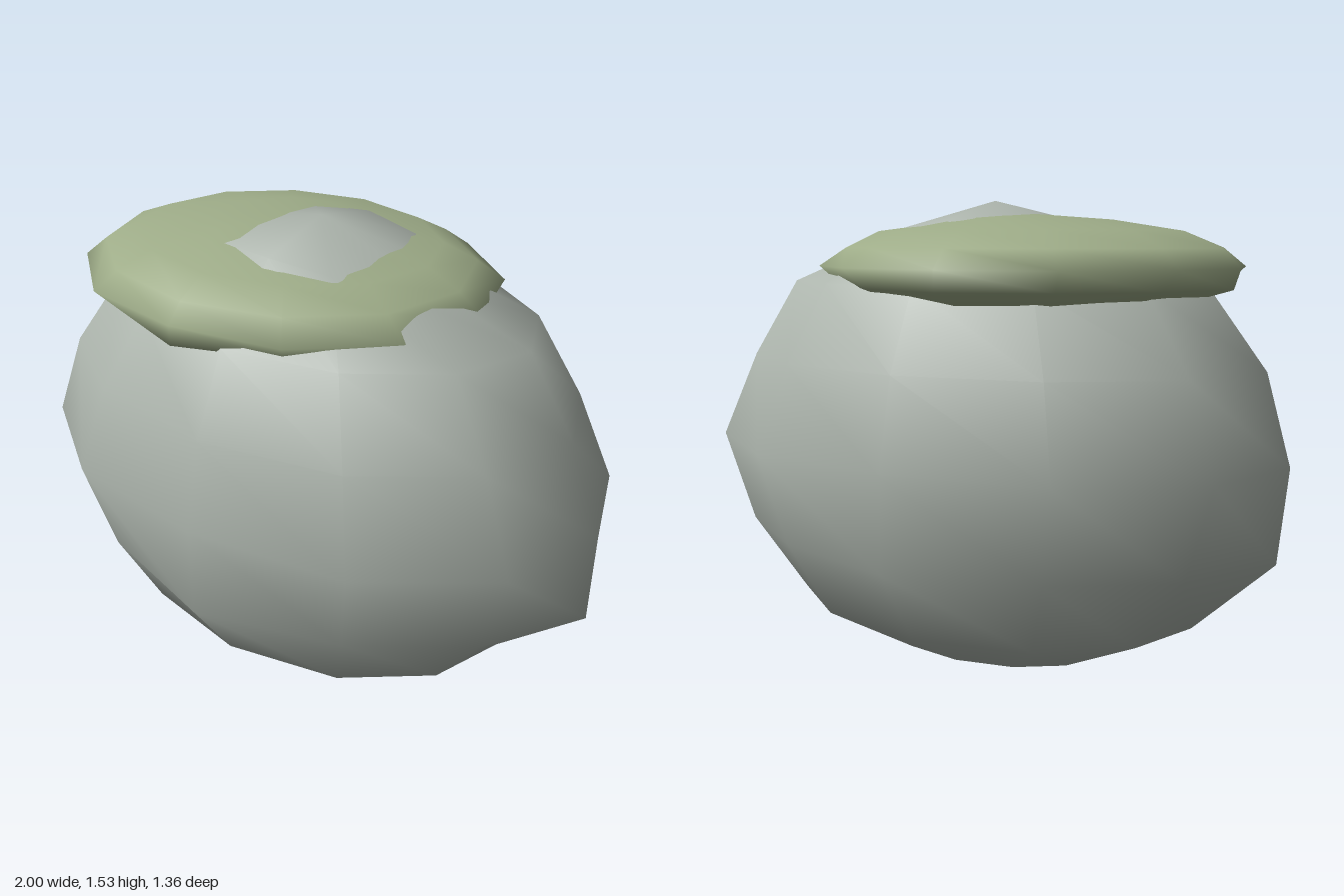
import * as THREE from 'three';
import { mergeVertices } from 'three/addons/utils/BufferGeometryUtils.js';

// Radius and height of each ring, from the top pole to the bottom pole.
const RINGS = [
  [0, 1], [0.39, 0.88], [0.73, 0.67], [0.905, 0.355], [1, 0],
  [0.92, -0.38], [0.71, -0.69], [0.39, -0.88], [0, -0.937],
];
const SIDES = 12;

// A lumpy pebble: a 12 x 8 sphere whose rings are moved to the profile above.
function pebble(rx, ry, rz) {
  const geo = new THREE.SphereGeometry(1, SIDES, RINGS.length - 1);
  const pos = geo.attributes.position;
  for (let i = 0; i < pos.count; i++) {
    const ring = Math.floor(i / (SIDES + 1));
    const col = (i % (SIDES + 1)) % SIDES;
    const a = (col / SIDES) * Math.PI * 2;
    let [r, y] = RINGS[ring];
    const c = -Math.cos(a), s = Math.sin(a);

    if (ring === 1) y += 0.045 * s * s - 0.035 * c * c - 0.025 * c; // ridge along z
    if (ring === 3) r -= 0.015 * c;                                 // leans to one side
    if (ring === 4 && col % 3 !== 0) r *= 1.02 + 0.02 * s * s;      // fuller flanks
    if (ring === 5 && col % 3 === 0) r *= c < -0.5 ? 1.055 : 1.085; // low corners
    if (ring === 6) r += 0.05 * s * s;
    pos.setXYZ(i, c * r * rx, y * ry, s * r * rz);
  }
  // Weld the seam so the shading stays smooth all round.
  geo.deleteAttribute('uv');
  geo.deleteAttribute('normal');
  const welded = mergeVertices(geo, 1e-4);
  welded.computeVertexNormals();
  return welded;
}

export function createModel() {
  const model = new THREE.Group();
  model.name = 'mossyRock';

  const add = (name, geometry, color, x, y, z) => {
    const mesh = new THREE.Mesh(geometry, new THREE.MeshStandardMaterial({ color }));
    mesh.name = name;
    mesh.position.set(x, y, z);
    model.add(mesh);
  };

  // Boulder
  add('rock', pebble(1, 0.79, 0.68), 0xacb4ac, 0, 0.74, 0);
  // Flat moss cushion, off-centre, with the rock's tip poking through
  add('mossCap', pebble(0.695, 0.165, 0.58), 0x9eac88, -0.145, 1.322, -0.03);

  return model;
}
